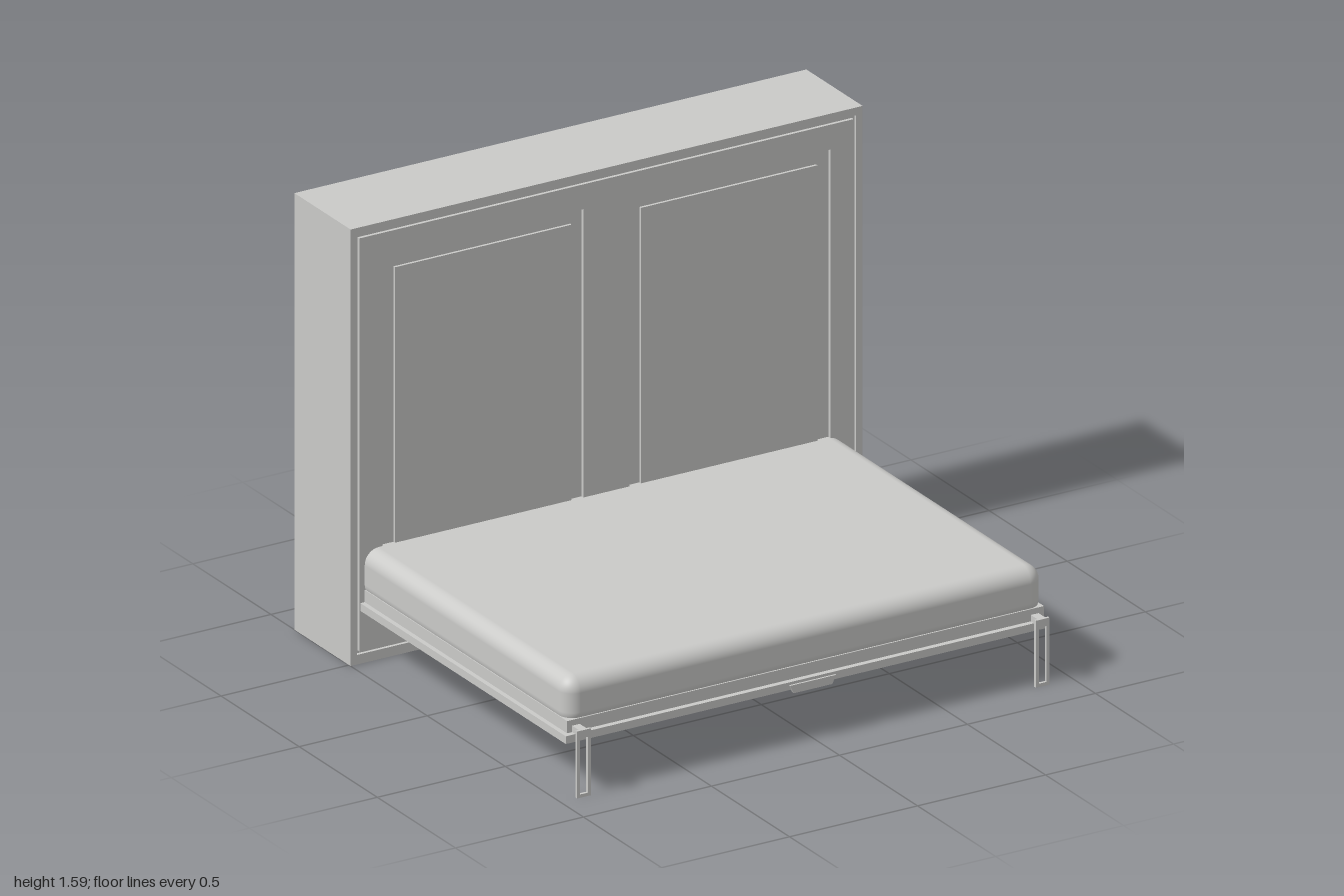
import * as THREE from 'three';
import { RoundedBoxGeometry } from 'three/addons/geometries/RoundedBoxGeometry.js';

export function createModel() {
  const model = new THREE.Group();
  model.name = 'foldDownBed';
  const grey = new THREE.MeshStandardMaterial({ color: 0xcacac8 });
  grey.name = 'light grey';

  const add = (name, geometry, parent = model) => {
    const mesh = new THREE.Mesh(geometry, grey);
    mesh.name = name;
    parent.add(mesh);
    return mesh;
  };
  // Box given by its limits on each axis
  const box = (name, x0, x1, y0, y1, z0, z1, parent) => {
    const g = new THREE.BoxGeometry(x1 - x0, y1 - y0, z1 - z0);
    g.translate((x0 + x1) / 2, (y0 + y1) / 2, (z0 + z1) / 2);
    return add(name, g, parent);
  };
  const rect = (Type, x0, x1, y0, y1) => new Type([
    new THREE.Vector2(x0, y0), new THREE.Vector2(x1, y0),
    new THREE.Vector2(x1, y1), new THREE.Vector2(x0, y1),
  ]);
  // Flat plate with rectangular holes, from z0 to z1
  const plate = (name, outer, holes, z0, z1, parent) => {
    const shape = rect(THREE.Shape, ...outer);
    holes.forEach((h) => shape.holes.push(rect(THREE.Path, ...h)));
    const g = new THREE.ExtrudeGeometry(shape, { depth: z1 - z0, bevelEnabled: false });
    g.translate(0, 0, z0);
    return add(name, g, parent);
  };

  // Cabinet: body, outer frame and door separated by a thin groove
  const cabinet = new THREE.Group();
  cabinet.name = 'cabinet';
  model.add(cabinet);
  const front = -0.49, back = -0.502;
  box('cabinetBody', -1, 1, 0, 1.585, -0.85, back, cabinet);
  plate('cabinetFrame', [-1, 1, 0, 1.585], [[-0.975, 0.975, 0.035, 1.557]], back, front, cabinet);
  plate('cabinetDoor', [-0.965, 0.965, 0.045, 1.545],
    [[-0.875, -0.09, 0.135, 1.455], [0.09, 0.875, 0.135, 1.455]], back, front, cabinet);
  // Raised fields inside the recessed door panels
  for (const s of [-1, 1]) {
    const c = s * 0.48;
    box('raisedPanel', c - 0.345, c + 0.345, 0.185, 1.408, back - 0.002, front - 0.002, cabinet);
  }

  // Bed platform and the rail around the mattress
  const bed = new THREE.Group();
  bed.name = 'bed';
  model.add(bed);
  box('platform', -0.962, 0.925, 0.192, 0.22, -0.5, 0.825, bed);
  box('mattressRail', -0.945, 0.918, 0.22, 0.264, -0.5, 0.805, bed);

  // Mattress, its lower rounding sunk into the rail
  const mattress = new RoundedBoxGeometry(1.868, 0.18, 1.4, 6, 0.055);
  mattress.translate(-0.011, 0.318, 0.103);
  add('mattress', mattress, bed);

  // Pull handle under the front edge
  const grip = new THREE.Shape();
  grip.moveTo(-0.09, 0.21);
  grip.lineTo(-0.075, 0.18);
  grip.lineTo(0.075, 0.18);
  grip.lineTo(0.09, 0.21);
  const handle = new THREE.ExtrudeGeometry(grip, { depth: 0.012, bevelEnabled: false });
  handle.translate(0, 0, 0.82);
  add('pullHandle', handle, bed);

  // Folding legs: narrow loops held by brackets
  for (const x of [-0.91, 0.882]) {
    const leg = new THREE.Group();
    leg.name = 'leg';
    bed.add(leg);
    plate('legLoop', [x - 0.027, x + 0.027, 0, 0.243],
      [[x - 0.015, x + 0.015, 0.012, 0.215]], 0.846, 0.856, leg);
    box('legBracket', x - 0.015, x + 0.015, 0.22, 0.243, 0.78, 0.85, leg);
  }
  return model;
}
